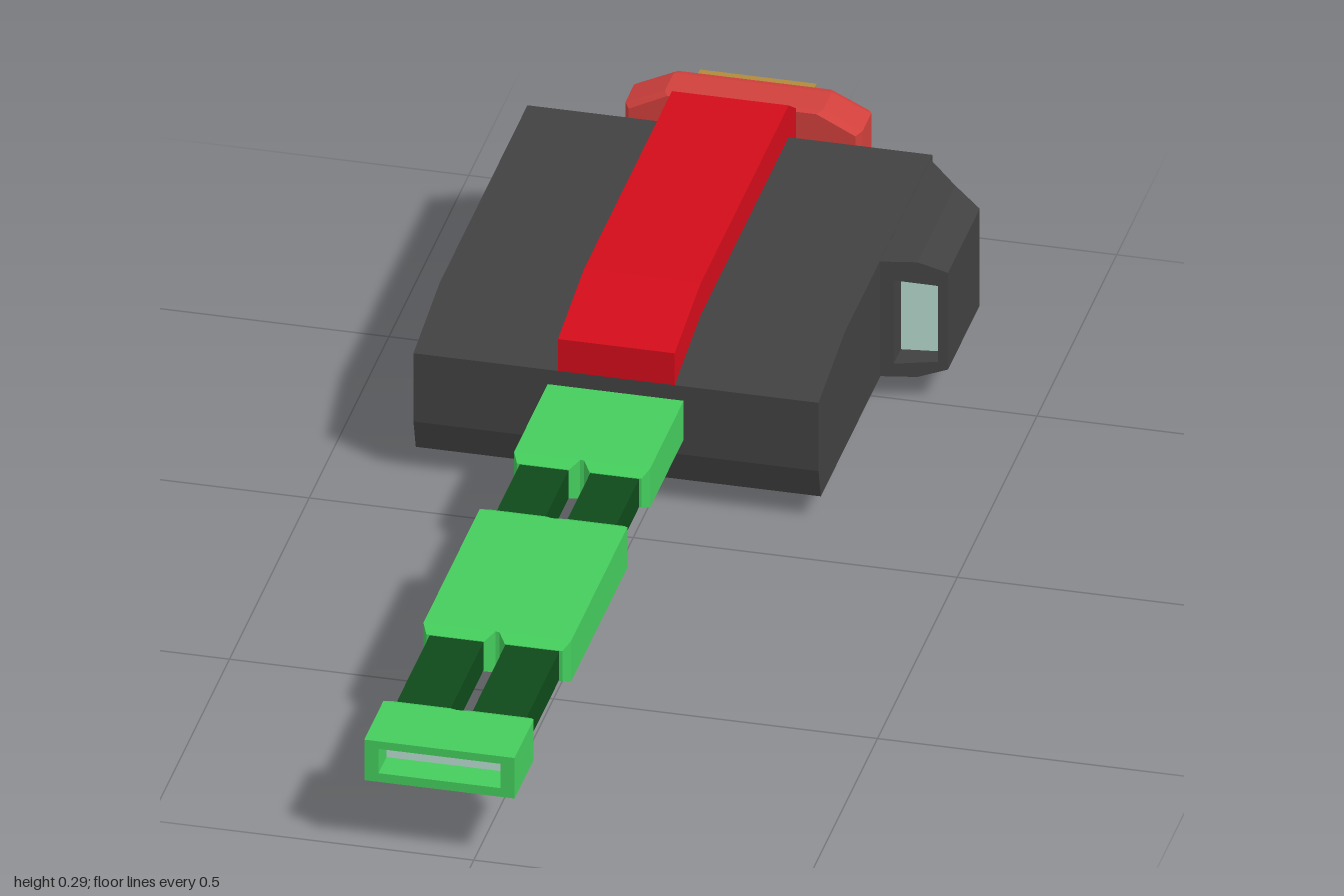
import * as THREE from 'three';
import { ConvexGeometry } from 'three/addons/geometries/ConvexGeometry.js';

const CX = -0.053; // shared centre line of barrel, strap, dial and rear cap

export function createModel() {
  const model = new THREE.Group();
  const mat = (color) => new THREE.MeshStandardMaterial({ color, flatShading: true });
  const dark = mat(0x414141), red = mat(0xd20c1a), green = mat(0x44cc5c), darkGreen = mat(0x0f4a1a);
  const glass = mat(0xb8dcd0), blue = mat(0x769fd6), coral = mat(0xd0403c), gold = mat(0xb08a3c);

  const add = (name, geometry, material) => {
    const mesh = new THREE.Mesh(geometry, material);
    mesh.name = name;
    model.add(mesh);
    return mesh;
  };
  // Box given by its extents
  const box = (name, material, x0, x1, y0, y1, z0, z1) => {
    const g = new THREE.BoxGeometry(x1 - x0, y1 - y0, Math.abs(z1 - z0));
    g.translate((x0 + x1) / 2, (y0 + y1) / 2, (z0 + z1) / 2);
    return add(name, g, material);
  };
  const hull = (name, material, pts) =>
    add(name, new ConvexGeometry(pts.map((p) => new THREE.Vector3(...p))), material);
  const shape = (pts) => new THREE.Shape(pts.map((p) => new THREE.Vector2(...p)));
  const rectPath = (x0, x1, y0, y1) =>
    new THREE.Path([[x0, y0], [x0, y1], [x1, y1], [x1, y0]].map((p) => new THREE.Vector2(...p)));

  // Main case: side profile [z, y, inset], narrowed at the rear corners
  const profile = [
    [-0.105, 0.21, 0], [-0.27, 0.24, 0], [-0.82, 0.24, 0], [-0.82, 0.06, 0], [-0.865, 0.21, 0.045],
    [-0.865, 0.07, 0.045], [-0.8, 0.04, 0], [-0.12, 0.04, 0], [-0.105, 0.092, 0],
  ];
  hull('case', dark, profile.flatMap(([z, y, i]) => [[-0.365 + i, y, z], [0.26 - i, y, z]]));

  // Raised strap over the case
  const strap = [[-0.105, 0.2], [-0.105, 0.265], [-0.27, 0.295], [-0.82, 0.295], [-0.865, 0.265], [-0.865, 0.205], [-0.8, 0.2]];
  hull('topStrap', red, strap.flatMap(([z, y]) => [[-0.142, y, z], [0.038, y, z]]));

  // Side housing: stations [x, zBack, zFront, yLow, yHigh]
  const stations = [
    [0.25, -0.82, -0.545, 0.041, 0.239],
    [0.315, -0.74, -0.545, 0.041, 0.239],
    [0.36, -0.71, -0.545, 0.055, 0.222],
  ];
  const corners = ([x, zb, zf, y0, y1]) => [[x, y0, zb], [x, y0, zf], [x, y1, zb], [x, y1, zf]];
  for (let i = 0; i < 2; i++) {
    hull('sideHousing', dark, [...corners(stations[i]), ...corners(stations[i + 1])]);
  }
  // Window frame, slightly swept back at its outer edge
  const frame = shape([[0.25, 0.041], [0.315, 0.041], [0.36, 0.055], [0.36, 0.222], [0.315, 0.239], [0.25, 0.239]]);
  frame.holes.push(new THREE.Path([[0.28, 0.063], [0.28, 0.207], [0.345, 0.199], [0.345, 0.068]].map((p) => new THREE.Vector2(...p))));
  const frameGeo = new THREE.ExtrudeGeometry(frame, { depth: 0.055, bevelEnabled: false });
  const fp = frameGeo.attributes.position;
  for (let i = 0; i < fp.count; i++) {
    if (fp.getZ(i) > 0.01) fp.setZ(i, 0.055 - (fp.getX(i) - 0.26) * 0.2);
  }
  frameGeo.computeVertexNormals();
  frameGeo.translate(0, 0, -0.546);
  add('windowFrame', frameGeo, dark);
  box('sideWindow', glass, 0.275, 0.35, 0.06, 0.21, -0.55, -0.54);

  // Oval dial under the case
  const dial = new THREE.CylinderGeometry(1, 1, 0.05, 16);
  dial.scale(0.172, 1, 0.202);
  dial.translate(CX, 0.025, -0.483);
  add('bottomDial', dial, blue);

  // Barrel blocks: tapered split lips at the chosen ends
  const lips = (half, y0, y1, z, dir) => {
    for (const s of [-1, 1]) {
      const t = 0.009, zEnd = z + dir * 0.018;
      const xs = (a, b, lo, hi, zz) => [a, b].flatMap((x) => [[CX + s * x, lo, zz], [CX + s * x, hi, zz]]);
      hull('barrelLip', green, [
        ...xs(0.003, half, y0, y1, z),
        ...xs(0.016, half - t, y0 + t, y1 - t, zEnd),
      ]);
    }
  };
  const blocks = [[0.105, -0.11, 0.105, 0.118], [0.114, 0.285, 0.637, 0.115]];
  blocks.forEach(([half, z0, z1, y0], i) => {
    box('barrelBlock', green, CX - half, CX + half, y0, 0.185, z0, z1);
    lips(half, y0, 0.185, z1, 1);
    if (i > 0) lips(half, y0, 0.185, z0, -1);
  });

  // Hollow muzzle with a pane inside
  const muzzle = shape([[CX - 0.116, 0.115], [CX + 0.116, 0.115], [CX + 0.116, 0.185], [CX - 0.116, 0.185]]);
  muzzle.holes.push(rectPath(CX - 0.094, CX + 0.094, 0.13, 0.172));
  const muzzleGeo = new THREE.ExtrudeGeometry(muzzle, { depth: 0.12, bevelEnabled: false });
  muzzleGeo.translate(0, 0, 0.88);
  add('muzzle', muzzleGeo, green);
  lips(0.116, 0.115, 0.185, 0.88, -1);
  box('muzzleBack', green, CX - 0.1, CX + 0.1, 0.125, 0.178, 0.881, 0.9);
  box('muzzlePane', glass, CX - 0.096, CX + 0.096, 0.128, 0.174, 0.94, 0.95);

  // Paired rails joining the barrel blocks
  for (const s of [-1, 1]) {
    for (const [z0, z1, outer] of [[0.1, 0.29, 0.092], [0.63, 0.885, 0.1]]) {
      const a = CX + s * 0.017, b = CX + s * outer;
      box('barrelRail', darkGreen, Math.min(a, b), Math.max(a, b), 0.126, 0.175, z0, z1);
    }
  }

  // Rear cap on a short neck, with raised pads
  box('rearNeck', dark, -0.13, 0.025, 0.085, 0.21, -0.91, -0.86);
  const capRing = (w, h, wTop, hSide, z) => [-1, 1].flatMap((s) => [-1, 1].flatMap((t) => [
    [CX + s * w, 0.15 + t * hSide, z], [CX + s * wTop, 0.15 + t * h, z],
  ]));
  hull('rearCap', coral, [
    ...capRing(0.175, 0.09, 0.115, 0.06, -0.897),
    ...capRing(0.183, 0.091, 0.122, 0.063, -0.91),
    ...capRing(0.183, 0.091, 0.122, 0.063, -0.965),
    ...capRing(0.177, 0.088, 0.118, 0.06, -0.978),
  ]);
  box('rearPad', gold, CX - 0.09, CX + 0.09, 0.07, 0.232, -0.97, -1.0);
  for (const s of [-1, 1]) {
    const c = CX + s * 0.15;
    box('rearPadStrip', gold, c - 0.012, c + 0.012, 0.095, 0.205, -0.97, -0.996);
  }
  return model;
}
